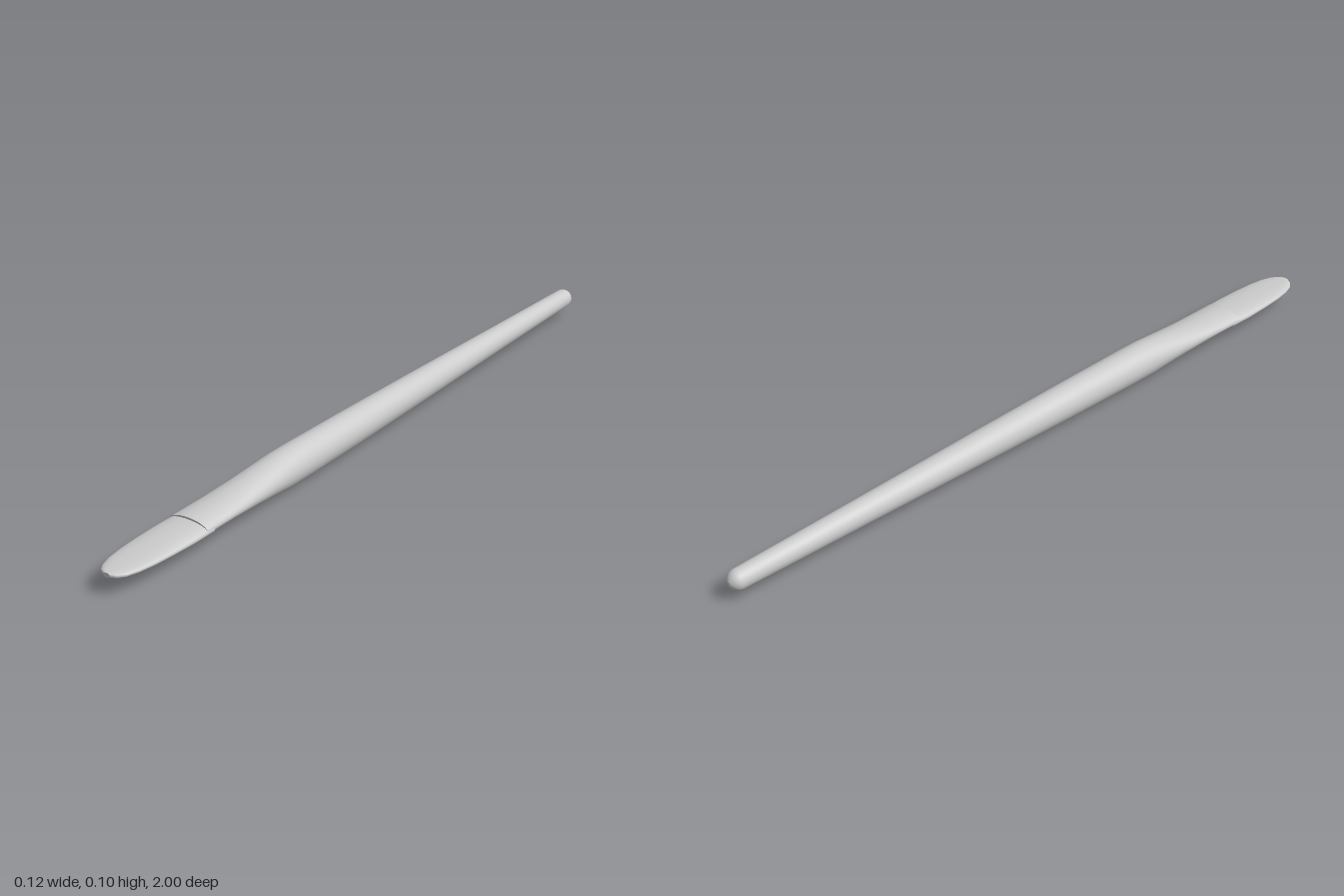
import * as THREE from 'three';

const SIDES = 40;

// Lofts closed elliptical rings along z; each section is [z, halfWidth, top, bottom, power]
function loft(sections, name) {
  const pos = [], index = [];
  const ring = ([z, w, top, bottom, power = 2]) => {
    const cy = (top + bottom) / 2, h = (top - bottom) / 2;
    for (let i = 0; i < SIDES; i++) {
      const a = (i / SIDES) * Math.PI * 2, c = Math.cos(a), s = Math.sin(a);
      pos.push(
        w * Math.sign(c) * Math.abs(c) ** (2 / power),
        cy + h * Math.sign(s) * Math.abs(s) ** (2 / power), z);
    }
  };
  sections.forEach(ring);
  for (let r = 0; r < sections.length - 1; r++) {
    for (let i = 0; i < SIDES; i++) {
      const a = r * SIDES + i, b = r * SIDES + (i + 1) % SIDES;
      index.push(a, b, b + SIDES, a, b + SIDES, a + SIDES);
    }
  }
  // end caps on their own rings, so that their rims stay sharp
  [[sections[0], false], [sections[sections.length - 1], true]].forEach(([s, front]) => {
    const start = pos.length / 3;
    ring(s);
    pos.push(0, (s[2] + s[3]) / 2, s[0]);
    const centre = start + SIDES;
    for (let i = 0; i < SIDES; i++) {
      const a = start + i, b = start + (i + 1) % SIDES;
      if (front) index.push(a, b, centre);
      else index.push(b, a, centre);
    }
  });
  const geometry = new THREE.BufferGeometry();
  geometry.setAttribute('position', new THREE.Float32BufferAttribute(pos, 3));
  geometry.setIndex(index);
  geometry.computeVertexNormals();
  const mesh = new THREE.Mesh(geometry, new THREE.MeshStandardMaterial({ color: 0xcccccc }));
  mesh.name = name;
  return mesh;
}

export function createModel() {
  const group = new THREE.Group();
  group.name = 'modellingTool';

  // handle: rounded butt, round tapering grip, flattening into the neck
  const axis = 0.052;
  const butt = [0.15, 0.4, 0.65, 0.85, 1].map((t) => {
    const r = 0.027 * Math.sin(t * Math.PI / 2);
    return [-0.973 - 0.027 * Math.cos(t * Math.PI / 2), r, axis + r, axis - r];
  });
  group.add(loft([
    ...butt,
    [-0.6, 0.034, 0.086, 0.018],
    [-0.2, 0.042, 0.094, 0.009],
    [0.1, 0.047, 0.099, 0.003],
    [0.32, 0.05, 0.101, 0.001],
    [0.39, 0.051, 0.1, 0.002],
    [0.46, 0.052, 0.093, 0.01],
    [0.54, 0.054, 0.084, 0.019],
    [0.62, 0.056, 0.077, 0.027],
    [0.725, 0.058, 0.073, 0.031],
  ], 'handle'));

  // blade: thin rounded tongue set slightly below the top of the handle
  group.add(loft([
    [0.7, 0.058, 0.068, 0.031, 2.2],
    [0.77, 0.06, 0.067, 0.033, 2.2],
    [0.84, 0.058, 0.065, 0.037, 2.3],
    [0.9, 0.054, 0.063, 0.04, 2.4],
    [0.945, 0.047, 0.062, 0.042, 2.5],
    [0.975, 0.037, 0.061, 0.043, 2.5],
    [0.992, 0.025, 0.06, 0.045, 2.5],
    [1, 0.01, 0.059, 0.047, 2.5],
  ], 'blade'));
  return group;
}
